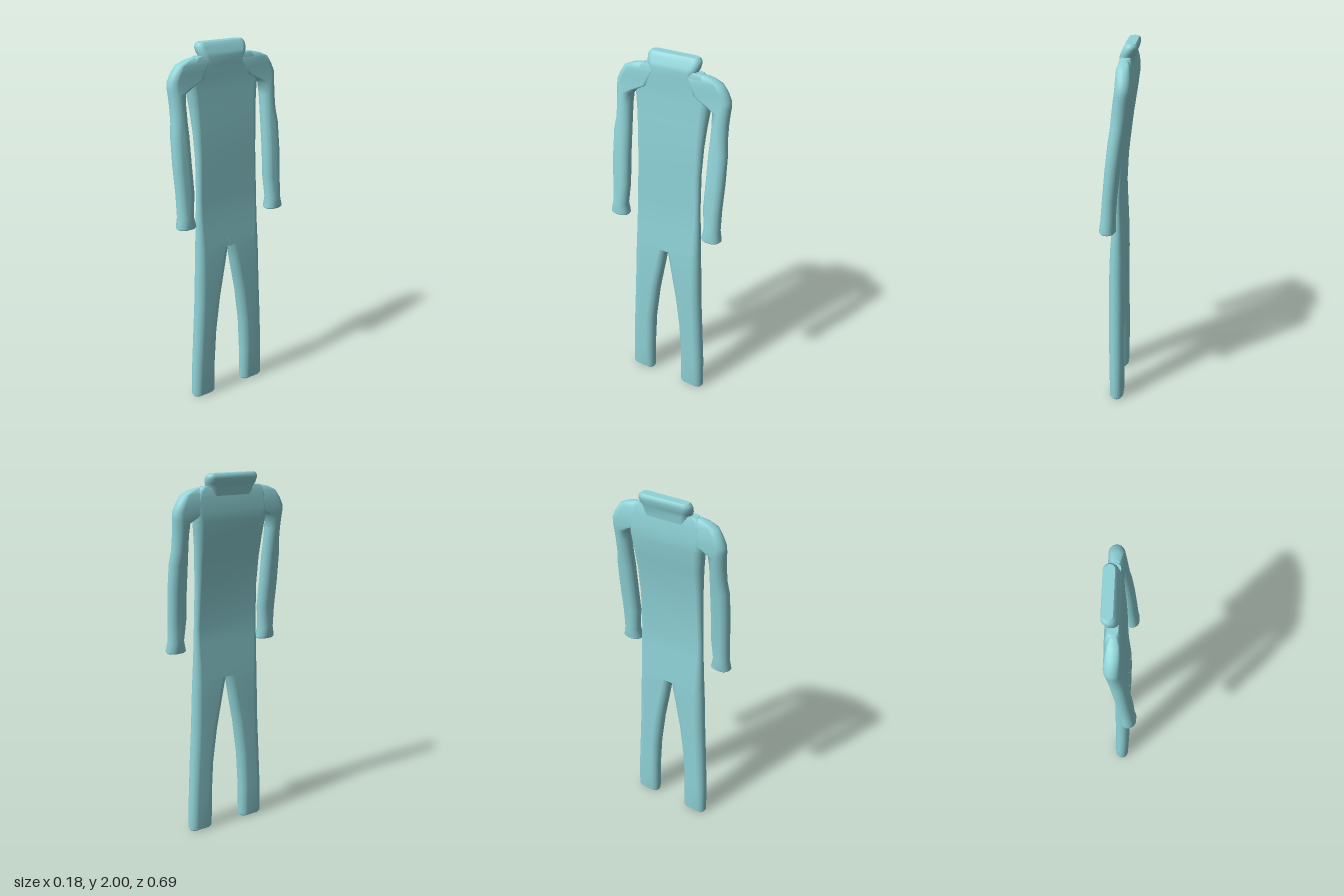
import * as THREE from 'three';

const SIDES = 32;

// Closed outline at one height: flat faces on +x / -x with rounded ends along z
function ring([y, z0, z1, x0, x1]) {
  const hx = (x1 - x0) / 2, hz = (z1 - z0) / 2;
  const r = Math.min(hx * 1.1, hz), flat = hz - r;
  const pts = [];
  for (let i = 0; i < SIDES; i++) {
    const a = ((i + 0.5) / SIDES) * Math.PI * 2;
    const c = Math.cos(a), s = Math.sin(a);
    pts.push([(x0 + x1) / 2 + s * hx, y, (z0 + z1) / 2 + Math.sign(c) * flat + c * r]);
  }
  return pts;
}

// Skin through rows [y, zMin, zMax, xMin, xMax] from bottom to top, with capped ends
function loft(name, rows, material) {
  const pos = [], index = [];
  const rings = rows.map(ring);
  rings.forEach((r) => r.forEach((p) => pos.push(...p)));
  for (let j = 0; j < rows.length - 1; j++) {
    for (let i = 0; i < SIDES; i++) {
      const a = j * SIDES + i, b = j * SIDES + (i + 1) % SIDES;
      index.push(a, b, b + SIDES, a, b + SIDES, a + SIDES);
    }
  }
  for (const top of [false, true]) {
    const k = top ? rows.length - 1 : 0;
    const [y, z0, z1, x0, x1] = rows[k];
    const start = pos.length / 3;
    rings[k].forEach((p) => pos.push(...p));
    pos.push((x0 + x1) / 2, y, (z0 + z1) / 2);
    for (let i = 0; i < SIDES; i++) {
      const a = start + i, b = start + (i + 1) % SIDES;
      index.push(start + SIDES, top ? a : b, top ? b : a);
    }
  }
  const geo = new THREE.BufferGeometry();
  geo.setAttribute('position', new THREE.Float32BufferAttribute(pos, 3));
  geo.setIndex(index);
  geo.computeVertexNormals();
  const mesh = new THREE.Mesh(geo, material);
  mesh.name = name;
  return mesh;
}

const flipZ = (rows) => rows.map(([y, z0, z1, x0, x1]) => [y, -z1, -z0, x0, x1]);

export function createModel() {
  const suit = new THREE.Group();
  suit.name = 'jumpsuit';
  const cloth = new THREE.MeshStandardMaterial({ color: 0x8fd3d8 });

  // Torso, leaning back towards the shoulders: [y, half width, xMin, xMax]
  const torso = [
    [0.9, 0.204, -0.03, 0.045], [1.0, 0.2, -0.026, 0.037], [1.1, 0.197, -0.021, 0.03],
    [1.2, 0.194, -0.017, 0.026], [1.4, 0.191, -0.027, 0.022], [1.55, 0.196, -0.043, 0.016],
    [1.66, 0.204, -0.062, 0.009], [1.76, 0.216, -0.077, 0.003], [1.82, 0.225, -0.077, 0],
    [1.88, 0.22, -0.072, 0], [1.915, 0.205, -0.067, -0.002], [1.935, 0.175, -0.06, -0.01],
  ].map(([y, w, x0, x1]) => [y, -w, w, x0, x1]);
  suit.add(loft('torso', torso, cloth));

  // Stand-up collar
  const collar = [
    [1.88, 0.13, -0.07, 0], [1.93, 0.138, -0.075, 0], [1.95, 0.148, -0.084, -0.006],
    [1.975, 0.152, -0.09, -0.018], [1.99, 0.146, -0.09, -0.025], [2.0, 0.135, -0.082, -0.035],
  ].map(([y, w, x0, x1]) => [y, -w, w, x0, x1]);
  suit.add(loft('collar', collar, cloth));

  // Sleeve with flared cuff, curving over the shoulder into the torso
  const sleeve = [
    [1.067, 0.236, 0.337, 0.008, 0.08], [1.075, 0.231, 0.344, 0, 0.086],
    [1.13, 0.243, 0.334, 0, 0.079], [1.25, 0.231, 0.335, -0.006, 0.069],
    [1.4, 0.235, 0.34, -0.022, 0.055], [1.55, 0.236, 0.338, -0.04, 0.038],
    [1.62, 0.238, 0.328, -0.051, 0.028], [1.7, 0.239, 0.326, -0.063, 0.02],
    [1.76, 0.234, 0.329, -0.071, 0.013], [1.785, 0.19, 0.331, -0.074, 0.009],
    [1.82, 0.12, 0.33, -0.075, 0.005], [1.86, 0.1, 0.311, -0.073, 0.003],
    [1.9, 0.08, 0.284, -0.066, 0.001], [1.92, 0.07, 0.24, -0.058, -0.006],
    [1.932, 0.06, 0.19, -0.045, -0.018],
  ];
  suit.add(loft('leftSleeve', sleeve, cloth), loft('rightSleeve', flipZ(sleeve), cloth));

  // Trouser leg, meeting its twin at the crotch
  const leg = [
    [0, 0.104, 0.233, -0.018, 0.035], [0.012, 0.097, 0.24, -0.03, 0.046],
    [0.2, 0.095, 0.236, -0.031, 0.049], [0.4, 0.084, 0.226, -0.031, 0.052],
    [0.6, 0.058, 0.215, -0.031, 0.052], [0.7, 0.039, 0.211, -0.031, 0.051],
    [0.8, 0.02, 0.208, -0.031, 0.049], [0.9, 0.001, 0.204, -0.03, 0.045],
    [0.94, -0.03, 0.202, -0.028, 0.042],
  ];
  suit.add(loft('leftLeg', leg, cloth), loft('rightLeg', flipZ(leg), cloth));

  return suit;
}
